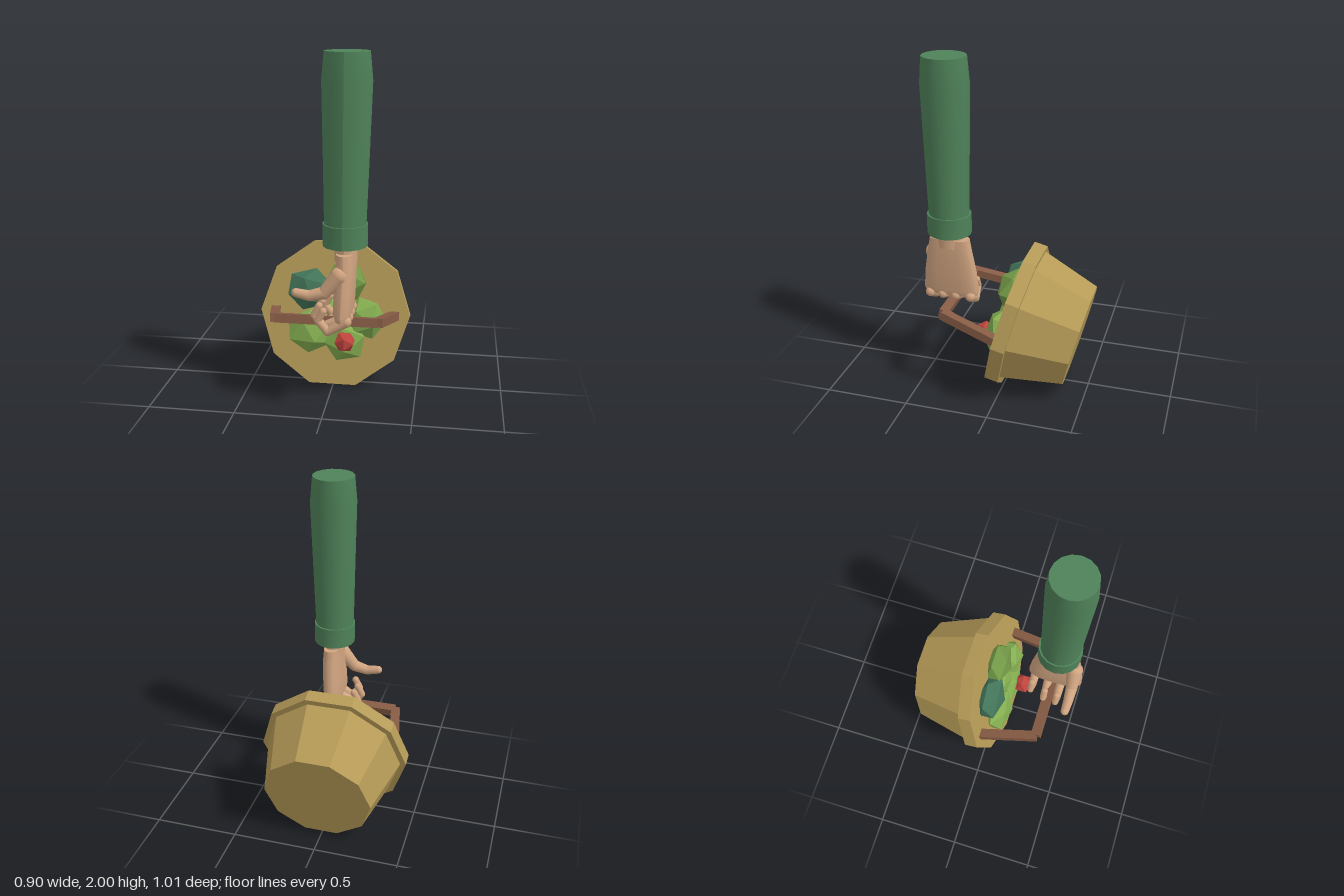
import * as THREE from 'three';

const mat = (name, color, flatShading = false) => {
  const m = new THREE.MeshStandardMaterial({ color, flatShading });
  m.name = name;
  return m;
};

export function createModel() {
  const root = new THREE.Group();
  root.name = 'armWithBasket';
  const tan = mat('basketTan', 0xb59a57, true);
  const wood = mat('handleBrown', 0x875c45, true);
  const leaf = mat('leafGreen', 0x84ae50, true);
  const midLeaf = mat('midLeafGreen', 0x729846, true);
  const darkLeaf = mat('darkLeafGreen', 0x43755a, true);
  const red = mat('tomatoRed', 0xc0443e, true);
  const sleeveGreen = mat('sleeveGreen', 0x4f8259);
  const skin = mat('skin', 0xd0a480);

  const add = (parent, name, geometry, material, pos = [0, 0, 0]) => {
    const mesh = new THREE.Mesh(geometry, material);
    mesh.name = name;
    mesh.position.set(...pos);
    parent.add(mesh);
    return mesh;
  };

  // Capped loft through rings of [y, centreX, radiusX, radiusZ], top to bottom
  const loft = (rings, sides, power = 1, cz = 0.335) => {
    const n = rings.length - 1;
    const geo = new THREE.CylinderGeometry(1, 1, 1, sides, n);
    const p = geo.attributes.position;
    const soft = (v) => Math.sign(v) * Math.pow(Math.abs(v), power);
    for (let i = 0; i < p.count; i++) {
      const [y, cx, rx, rz] = rings[Math.round((0.5 - p.getY(i)) * n)];
      p.setXYZ(i, cx + soft(p.getX(i)) * rx, y, cz + soft(p.getZ(i)) * rz);
    }
    geo.computeVertexNormals();
    return geo;
  };

  // Tapered limb with round joints through points of [x, y, z, radius]
  const limb = (parent, name, points) => {
    const group = new THREE.Group();
    group.name = name;
    points.forEach(([x, y, z, r], i) => {
      add(group, name + 'Joint', new THREE.SphereGeometry(r, 12, 8), skin, [x, y, z]);
      if (i === 0) return;
      const a = new THREE.Vector3(...points[i - 1].slice(0, 3));
      const b = new THREE.Vector3(x, y, z);
      const d = b.clone().sub(a);
      const bone = add(group, name + 'Segment',
        new THREE.CylinderGeometry(r, points[i - 1][3], d.length(), 12, 1, true), skin);
      bone.position.copy(a).add(b).multiplyScalar(0.5);
      bone.quaternion.setFromUnitVectors(new THREE.Vector3(0, 1, 0), d.normalize());
    });
    parent.add(group);
  };

  // Tilted basket: its opening faces local +z at z = 0
  const basket = new THREE.Group();
  basket.name = 'basket';
  basket.position.set(0, 0.432, -0.01);
  basket.rotation.x = -0.245;
  root.add(basket);
  const tub = (name, rFront, rBack, zFront, zBack) => {
    const geo = new THREE.CylinderGeometry(rFront, rBack, zFront - zBack, 10);
    geo.rotateY(Math.PI / 2).rotateX(Math.PI / 2);
    add(basket, name, geo, tan, [0, 0, (zFront + zBack) / 2]);
  };
  tub('basketRim', 0.45, 0.45, 0, -0.082);
  tub('basketBody', 0.432, 0.32, -0.02, -0.438);

  // Handle
  add(basket, 'handleGrip', new THREE.BoxGeometry(0.58, 0.05, 0.055), wood, [0, 0, 0.345]);
  for (const s of [-1, 1]) {
    const arm = add(basket, 'handleArm', new THREE.BoxGeometry(0.055, 0.05, 0.365), wood,
      [s * 0.326, 0, 0.17]);
    arm.rotation.y = -s * 0.19;
  }

  // Leafy vegetables: [x, y, z, radiusX, radiusY, radiusZ, turn, material]
  const leaves = [
    [-0.15, 0.14, 0.035, 0.15, 0.13, 0.085, 0.3, darkLeaf],
    [0.065, 0.19, 0.03, 0.14, 0.12, 0.085, 0.0, midLeaf],
    [-0.14, -0.11, 0.02, 0.155, 0.135, 0.085, 0.5, leaf],
    [0.19, -0.02, 0.015, 0.125, 0.13, 0.085, 0.9, leaf],
    [0.07, -0.15, 0.015, 0.14, 0.14, 0.085, 0.2, leaf],
    [0.02, 0.0, 0.005, 0.13, 0.12, 0.075, 0.7, leaf],
  ];
  for (const [x, y, z, rx, ry, rz, turn, material] of leaves) {
    const geo = new THREE.IcosahedronGeometry(1, 0).rotateZ(turn).scale(rx, ry, rz);
    add(basket, 'lettuce', geo, material, [x, y, z]);
  }
  add(root, 'tomato', new THREE.IcosahedronGeometry(0.065, 0), red, [0.08, 0.31, 0.135]);

  // Sleeve and cuff
  add(root, 'sleeve', loft([
    [2, 0.115, 0.122, 0.125], [1.85, 0.115, 0.136, 0.137],
    [1.4, 0.111, 0.124, 0.126], [1.05, 0.107, 0.115, 0.117],
  ], 16), sleeveGreen);
  add(root, 'cuff', loft([[1.087, 0.108, 0.124, 0.13], [0.965, 0.108, 0.124, 0.13]], 16), sleeveGreen);

  // Hand
  const hand = new THREE.Group();
  hand.name = 'hand';
  root.add(hand);
  add(hand, 'wrist', loft([[1.0, 0.112, 0.064, 0.08], [0.88, 0.112, 0.064, 0.085]], 16), skin);
  add(hand, 'palm', loft([
    [0.93, 0.113, 0.05, 0.12], [0.85, 0.115, 0.053, 0.135], [0.72, 0.108, 0.055, 0.158],
    [0.6, 0.102, 0.054, 0.17], [0.565, 0.103, 0.042, 0.162],
  ], 20, 0.75), skin);
  [0.46, 0.38, 0.3, 0.21].forEach((z, i) => {
    const dx = [0.02, -0.015, -0.01, 0.02][i];
    limb(hand, 'finger', [
      [0.13, 0.565, z, 0.031], [0.01 + dx, 0.503, z, 0.024],
      [-0.045 + dx, 0.565, z, 0.02], [-0.015 + dx, 0.62, z, 0.021],
    ]);
  });
  limb(hand, 'thumb', [
    [0.09, 0.82, 0.445, 0.05], [0.01, 0.725, 0.455, 0.036],
    [-0.07, 0.705, 0.457, 0.03], [-0.145, 0.718, 0.455, 0.025],
  ]);
  return root;
}
